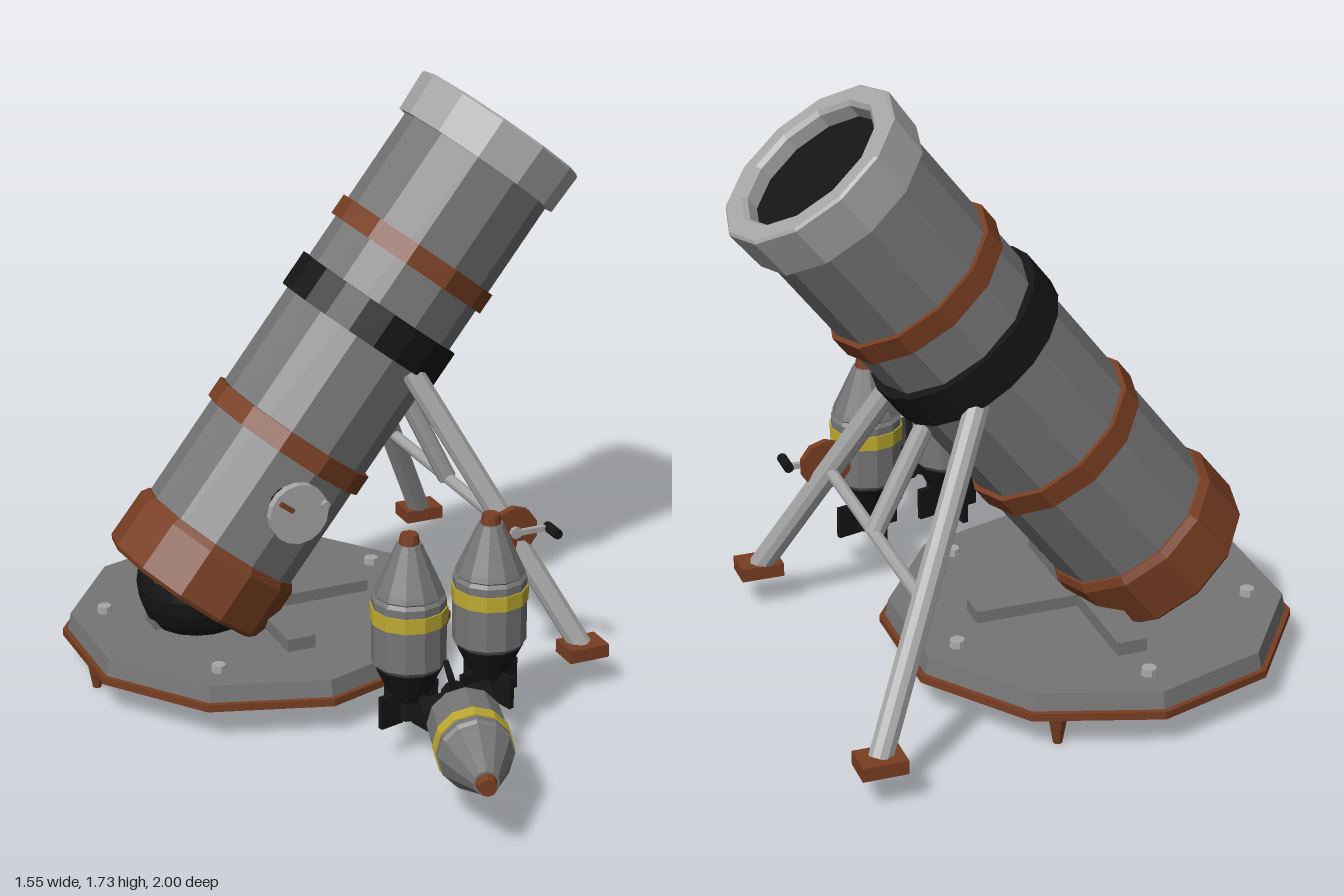
import * as THREE from 'three';

const mat = (name, color) => {
  const m = new THREE.MeshStandardMaterial({ color, flatShading: true });
  m.name = name;
  return m;
};

export function createModel() {
  const steel = mat('steel grey', 0x757575);
  const light = mat('light grey', 0xa6a6a6);
  const rust = mat('rust brown', 0x783e22);
  const black = mat('black', 0x151515);
  const yellow = mat('yellow', 0xbfaa30);

  const root = new THREE.Group();
  root.name = 'mortar';

  const add = (parent, name, geo, material, x = 0, y = 0, z = 0) => {
    const m = new THREE.Mesh(geo, material);
    m.name = name;
    m.position.set(x, y, z);
    parent.add(m);
    return m;
  };
  const group = (name, x, y, z) => {
    const g = new THREE.Group();
    g.name = name;
    g.position.set(x, y, z);
    root.add(g);
    return g;
  };
  // Upright cylinder spanning y0..y1
  const drum = (parent, name, material, rBottom, rTop, y0, y1, sides = 12, x = 0, z = 0) =>
    add(parent, name, new THREE.CylinderGeometry(rTop, rBottom, y1 - y0, sides), material, x, (y0 + y1) / 2, z);
  // Round bar between two points
  const rod = (parent, name, material, a, b, r, sides = 10) => {
    const p = new THREE.Vector3(...a), q = new THREE.Vector3(...b);
    const d = q.clone().sub(p);
    const m = add(parent, name, new THREE.CylinderGeometry(r, r, d.length(), sides), material);
    m.position.copy(p).add(q).multiplyScalar(0.5);
    m.quaternion.setFromUnitVectors(new THREE.Vector3(0, 1, 0), d.normalize());
    return m;
  };
  const lathe = (points, sides) =>
    new THREE.LatheGeometry(points.map(([r, y]) => new THREE.Vector2(r, y)), sides);

  // Base plate with ribs, bolts and ground spikes
  const base = group('basePlate', -0.22, 0, -0.39);
  drum(base, 'plateRim', rust, 0.58, 0.58, 0.096, 0.118, 10);
  drum(base, 'plateTop', steel, 0.565, 0.555, 0.118, 0.167, 10);
  add(base, 'ribAcross', new THREE.BoxGeometry(0.085, 0.042, 0.68), steel, 0, 0.185, 0);
  add(base, 'ribAlong', new THREE.BoxGeometry(0.68, 0.038, 0.085), steel, 0, 0.183, 0);
  for (let i = 0; i < 5; i++) {
    const a = Math.PI / 2 + (i * 2 * Math.PI) / 5;
    drum(base, 'bolt', light, 0.023, 0.021, 0.165, 0.187, 8, 0.455 * Math.cos(a), -0.455 * Math.sin(a));
  }
  for (let i = 0; i < 3; i++) {
    const a = Math.PI + (i * 2 * Math.PI) / 3;
    drum(base, 'spike', rust, 0.013, 0.031, 0, 0.1, 8, 0.51 * Math.cos(a), 0.51 * Math.sin(a));
  }

  // Ball joint under the breech
  add(root, 'ballJoint', new THREE.SphereGeometry(0.18, 16, 12), black, -0.41, 0.285, -0.385);

  // Tilted barrel, built along its own y axis
  const barrel = group('barrel', -0.45, 0.265, -0.385);
  barrel.rotation.z = THREE.MathUtils.degToRad(-38);
  drum(barrel, 'tube', steel, 0.247, 0.247, 0.05, 1.57);
  add(barrel, 'breech', lathe([[0, 0], [0.258, 0], [0.269, 0.012], [0.267, 0.165], [0.253, 0.187], [0, 0.187]], 12), rust);
  drum(barrel, 'lowerBand', rust, 0.262, 0.262, 0.51, 0.575);
  drum(barrel, 'clampBand', black, 0.268, 0.268, 0.905, 1.015, 20);
  drum(barrel, 'upperBand', rust, 0.262, 0.262, 1.153, 1.218);
  add(barrel, 'muzzleCollar', lathe([[0.24, 1.515], [0.268, 1.515], [0.273, 1.64], [0.266, 1.647],
    [0.216, 1.647], [0.205, 1.635], [0.205, 1.56]], 12), light);
  drum(barrel, 'bore', black, 0.205, 0.205, 1.56, 1.595, 24);

  // Dial on the barrel's side
  const dial = group('dial', -0.213, 0.58, -0.15);
  dial.rotation.x = Math.PI / 2;
  drum(dial, 'dialMount', black, 0.06, 0.06, -0.02, 0.052);
  drum(dial, 'dialDisc', light, 0.09, 0.09, 0.052, 0.078, 16);
  drum(dial, 'dialKnob', light, 0.012, 0.012, 0.078, 0.092, 8, 0.078, -0.02);
  const needle = add(dial, 'dialNeedle', new THREE.BoxGeometry(0.05, 0.009, 0.014), rust, -0.04, 0.082, -0.03);
  needle.rotation.y = -0.65;

  // Support legs, mirrored about the barrel's plane
  const bipod = group('bipod', 0, 0, -0.385);
  for (const s of [1, -1]) {
    rod(bipod, 'leg', light, [0.18, 0.92, s * 0.215], [0.57, 0.125, s * 0.56], 0.034);
    add(bipod, 'foot', new THREE.BoxGeometry(0.125, 0.04, 0.095), rust, 0.572, 0.119, s * 0.567);
  }
  rod(bipod, 'crossBar', light, [0.4, 0.475, 0.41], [0.4, 0.475, -0.41], 0.018);
  rod(bipod, 'centreStrut', light, [0.4, 0.475, 0], [0.21, 0.86, 0], 0.028);

  // Hand wheel with crank
  const crank = group('handWheel', 0.4, 0.475, 0);
  rod(crank, 'axle', light, [0, 0, 0], [0, 0, 0.085], 0.018, 8);
  rod(crank, 'wheel', rust, [0, 0, 0.05], [0, 0, 0.072], 0.075, 10);
  add(crank, 'crankArm', new THREE.BoxGeometry(0.12, 0.016, 0.014), light, 0.05, 0, 0.08);
  rod(crank, 'crankGrip', black, [0.105, 0, 0.07], [0.105, 0, 0.142], 0.015, 8);

  // Finned shells: two standing, one lying down
  const shell = (name, x, y, z) => {
    const g = group(name, x, y, z);
    add(g, 'shellBody', lathe([[0, 0.165], [0.085, 0.165], [0.105, 0.185], [0.105, 0.375], [0.095, 0.385],
      [0.1, 0.39], [0.094, 0.405], [0.035, 0.535], [0, 0.535]], 12), steel);
    drum(g, 'shellStripe', yellow, 0.109, 0.109, 0.308, 0.352);
    drum(g, 'noseCap', rust, 0.03, 0.025, 0.532, 0.562, 10);
    drum(g, 'tailCone', black, 0.048, 0.097, 0.07, 0.17);
    drum(g, 'tailTube', black, 0.04, 0.04, 0.01, 0.08, 10);
    for (let i = 0; i < 4; i++) {
      const holder = new THREE.Group();
      holder.name = 'tailFin';
      holder.rotation.y = (i * Math.PI) / 2 + 0.25;
      g.add(holder);
      add(holder, 'finPlate', new THREE.BoxGeometry(0.075, 0.095, 0.016), black, 0.063, 0.0475, 0);
    }
    return g;
  };
  shell('standingShellRight', -0.07, 0.105, 0.36);
  shell('standingShellLeft', 0.195, 0.105, 0.325);
  const lying = shell('lyingShell', 0.024, 0.213, 0.455);
  lying.rotation.set(Math.PI / 2, 0, THREE.MathUtils.degToRad(16.5));

  return root;
}
